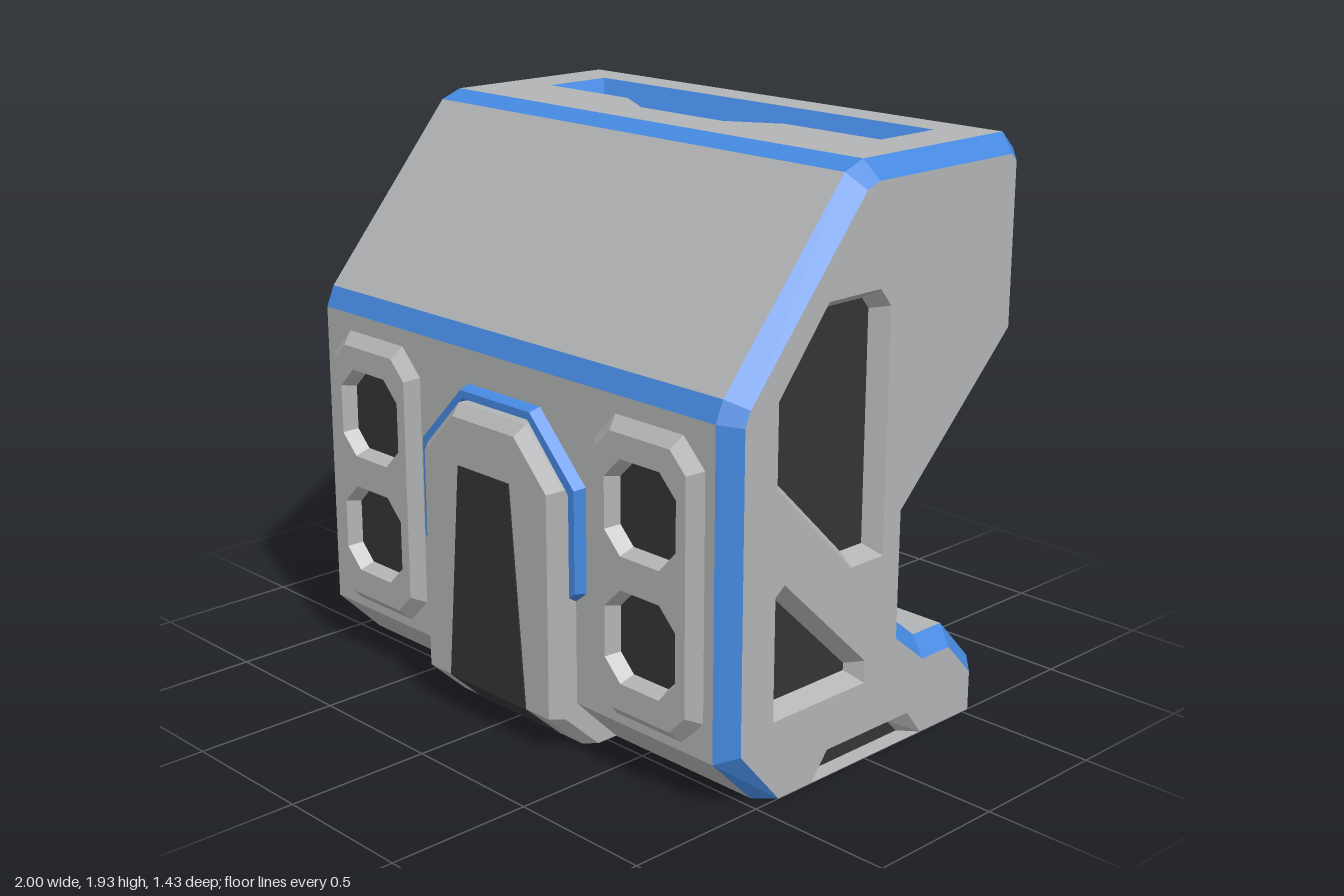
import * as THREE from 'three';

const mat = (name, color) => {
  const m = new THREE.MeshStandardMaterial({ color, side: THREE.DoubleSide, flatShading: true });
  m.name = name;
  return m;
};

export function createModel() {
  const grey = mat('shell grey', 0xb2b3b4);
  const blue = mat('trim blue', 0x4588e0);
  const dark = mat('inset dark', 0x343434);
  const model = new THREE.Group();
  model.name = 'housing';

  // ---- 2D helpers: every outline is counter-clockwise in its own wall plane ----
  const ccw = (p) => THREE.ShapeUtils.area(p.map(([x, y]) => new THREE.Vector2(x, y))) < 0 ? [...p].reverse() : p;
  const flip = (p) => ccw(p.map(([x, y]) => [-x, y]));
  const inset = (p, d) => p.map(([x, y], i) => {
    const a = p[(i + p.length - 1) % p.length], b = p[(i + 1) % p.length];
    const l1 = Math.hypot(x - a[0], y - a[1]), l2 = Math.hypot(b[0] - x, b[1] - y);
    const n1 = [(a[1] - y) / l1, (x - a[0]) / l1], n2 = [(y - b[1]) / l2, (b[0] - x) / l2];
    const k = d / (1 + n1[0] * n2[0] + n1[1] * n2[1]);
    return [x + (n1[0] + n2[0]) * k, y + (n1[1] + n2[1]) * k];
  });
  const oct = (cx, cy, w, h, c) => [
    [cx + w - c, cy - h], [cx + w, cy - h + c], [cx + w, cy + h - c], [cx + w - c, cy + h],
    [cx - w + c, cy + h], [cx - w, cy + h - c], [cx - w, cy - h + c], [cx - w + c, cy - h]];
  const rect = (x0, y0, x1, y1) => [[x0, y0], [x1, y0], [x1, y1], [x0, y1]];

  // ---- 3D helpers ----
  const add = (parent, name, geo, material) => {
    const m = new THREE.Mesh(geo, material);
    m.name = name;
    parent.add(m);
    return m;
  };
  const frame = (name, pos, rx = 0, ry = 0) => {
    const g = new THREE.Group();
    g.name = name;
    g.position.set(...pos);
    g.rotation.set(rx, ry, 0);
    model.add(g);
    return g;
  };
  // Flat wall with holes
  const face = (parent, name, poly, z, material, holes = []) => {
    const pts = (p) => p.map(([x, y]) => new THREE.Vector2(x, y));
    const s = new THREE.Shape(pts(poly));
    s.holes = holes.map((h) => new THREE.Path(pts(h)));
    return add(parent, name, new THREE.ShapeGeometry(s).translate(0, 0, z), material);
  };
  // Band of quads from one outline to another
  const ring = (parent, name, A, za, B, zb, material, pick = () => true) => {
    const v = [];
    A.forEach((a, i) => {
      if (!pick(i)) return;
      const j = (i + 1) % A.length;
      const q = [[...a, za], [...A[j], za], [...B[j], zb], [...B[i], zb]];
      [0, 1, 2, 0, 2, 3].forEach((k) => v.push(...q[k]));
    });
    const g = new THREE.BufferGeometry();
    g.setAttribute('position', new THREE.Float32BufferAttribute(v, 3));
    g.computeVertexNormals();
    return add(parent, name, g, material);
  };
  // Bevelled recess with a dark floor
  const recess = (parent, name, poly, z, depth, d, wall = grey, inner = inset(poly, d)) => {
    ring(parent, name + 'Bevel', poly, z, inner, z - depth, wall);
    face(parent, name + 'Floor', inner, z - depth, dark);
  };

  // ---- body shell, profile as [-z, y] from the rear foot over the top ----
  const P = [[-.59, 0], [-.59, .16], [-.44, .32], [-.30, .32], [-.20, .40], [-.20, .78], [-.71, 1.28],
    [-.71, 1.87], [-.65, 1.93], [.02, 1.93], [.10, 1.90], [.60, 1.31], [.63, 1.24], [.63, .17], [.46, 0]]
    .map(([z, y]) => [-z, y]);
  const I = inset(P, .06);
  I[0] = [.53, 0];
  I[14] = [-.40, 0];
  const W = .94, bands = [7, 9, 11], pierced = [6, 8, 12], open = 14;
  const body = frame('body', [0, 0, 0], 0, Math.PI / 2);
  ring(body, 'shell', P, -W, P, W, grey, (i) => ![...bands, ...pierced, open].includes(i));
  ring(body, 'edgeBands', P, -W, P, W, blue, (i) => bands.includes(i));
  ring(body, 'leftEdgeTrim', P, W, I, 1, blue, (i) => i !== open);
  ring(body, 'rightEdgeTrim', I, -1, P, -W, blue, (i) => i !== open);

  // ---- side walls with two windows and a bottom notch ----
  const notch = [[-.25, 0], [-.18, .09], [.21, .09], [.28, 0]];
  const notchIn = [[-.20, 0], [-.15, .05], [.18, .05], [.23, 0]];
  const bigWindow = ccw([[-.43, 1.28], [-.22, 1.54], [.01, 1.54], [.06, 1.48], [.06, .675], [-.09, .675], [-.43, 1.01]]);
  const smallWindow = ccw([[-.43, .67], [-.39, .70], [-.01, .34], [-.01, .265], [-.43, .265]]);
  const outline = [...I, ...notch];
  for (const s of [1, -1]) {
    const m = s > 0 ? (p) => p : flip;
    const side = frame(s > 0 ? 'leftSide' : 'rightSide', [s, 0, 0], 0, s * Math.PI / 2);
    face(side, 'sideWall', m(outline), 0, grey, [m(bigWindow), m(smallWindow)]);
    recess(side, 'upperWindow', m(bigWindow), 0, .06, .035);
    recess(side, 'lowerWindow', m(smallWindow), 0, .06, .035);
    const a = ccw(notch), b = ccw(notchIn);
    recess(side, 'bottomNotch', m(a), 0, .06, 0, grey, m(b));
  }

  // ---- top wall with the blue-edged slot ----
  const top = frame('top', [0, 1.93, 0], -Math.PI / 2);
  const slot = ccw([[-.77, .52], [.77, .52], [.77, .26], [.37, .26], [.19, .155], [-.19, .155], [-.37, .26], [-.77, .26]]);
  face(top, 'topWall', rect(-W, -.02, W, .65), 0, grey, [slot]);
  recess(top, 'slot', slot, 0, .08, .05, blue);

  // ---- rear wall with three windows ----
  const back = frame('rear', [0, 0, -.71], 0, Math.PI);
  const rearMain = oct(0, 1.575, .33, .205, .07);
  const rearSmall = [[.46, 1.49], [.90, 1.49], [.90, 1.60], [.85, 1.65], [.51, 1.65], [.46, 1.60]];
  const rearHoles = [rearMain, rearSmall, flip(rearSmall)];
  face(back, 'rearWall', rect(-W, 1.28, W, 1.87), 0, grey, rearHoles);
  rearHoles.forEach((h) => recess(back, 'rearWindow', h, 0, .05, .025));

  // ---- front wall with two raised panels ----
  const front = frame('front', [0, 0, .63]);
  const panels = [-.665, .665].map((x) => oct(x, .69, .235, .49, .09));
  face(front, 'frontWall', rect(-W, .17, W, 1.24), 0, grey, panels);
  panels.forEach((p, i) => {
    const x = i ? .665 : -.665, f = inset(p, .04);
    const holes = [.485, .905].map((y) => oct(x, y, .155, .155, .07));
    ring(front, 'panelBevel', p, 0, f, .04, grey);
    face(front, 'panelFace', f, .04, grey, holes);
    holes.forEach((h) => recess(front, 'panelPort', h, .04, .05, .02));
  });

  // ---- arch: blue trim, raised plate and dark doorway ----
  const half = [[.335, .52], [.385, .56], [.385, .91], [.175, 1.125]];
  const halfIn = [[.155, 1.075], [.335, .88]];
  const neg = (p) => p.map(([x, y]) => [-x, y]).reverse();
  const trim = [...half, ...neg(half), ...neg(halfIn), ...halfIn];
  const trimTop = inset(trim, .012);
  ring(front, 'archTrimEdge', trim, 0, trimTop, .04, blue);
  face(front, 'archTrimFace', trimTop, .04, blue);

  // Below the crease the arch leans back toward the foot
  const lean = (m) => {
    const p = m.geometry.attributes.position;
    for (let i = 0; i < p.count; i++) p.setZ(i, p.getZ(i) - (.13 - p.getY(i)) * 1.08);
    m.geometry.computeVertexNormals();
  };
  const plate = [[-.335, .13], [.335, .13], [.335, .90], [.165, 1.075], [-.165, 1.075], [-.335, .90]];
  const plateTop = inset(plate, .035);
  plateTop[0][1] = plateTop[1][1] = .13;
  const foot = rect(-.335, 0, .335, .13), footTop = rect(-.30, 0, .30, .13);
  const sides = (i) => i !== 0, footSides = (i) => i !== 2;
  for (const [p, t, pick, bend] of [[plate, plateTop, sides, () => {}], [foot, footTop, footSides, lean]]) {
    bend(ring(front, 'archSide', p, -.06, p, .05, grey, pick));
    bend(ring(front, 'archBevel', p, .05, t, .09, grey, pick));
    bend(face(front, 'archFace', t, .09, grey));
  }
  const door = [[-.19, .13], [.19, .13], [.125, .88], [-.125, .88]];
  const doorFoot = [[-.2, 0], [.2, 0], [.19, .13], [-.19, .13]];
  for (const [p, pick, bend] of [[door, sides, () => {}], [doorFoot, footSides, lean]]) {
    bend(ring(front, 'doorwaySide', p, -.08, p, .094, dark, pick));
    bend(face(front, 'doorwayFace', p, .094, dark));
    bend(face(front, 'doorwayInside', p, -.08, dark));
  }

  // ---- two pillars in the rear recess ----
  const box = (name, w, h, d, x, y, z, material) =>
    add(model, name, new THREE.BoxGeometry(w, h, d).translate(x, y, z), material);
  for (const x of [-.27, .27]) {
    box('pillar', .17, .51, .13, x, .615, -.235, grey);
    box('pillarFoot', .15, .06, .11, x, .34, -.235, dark);
    for (const s of [-1, 1]) box('pillarSidePlate', .006, .48, .07, x + s * .086, .6, -.235, dark);
  }
  return model;
}
